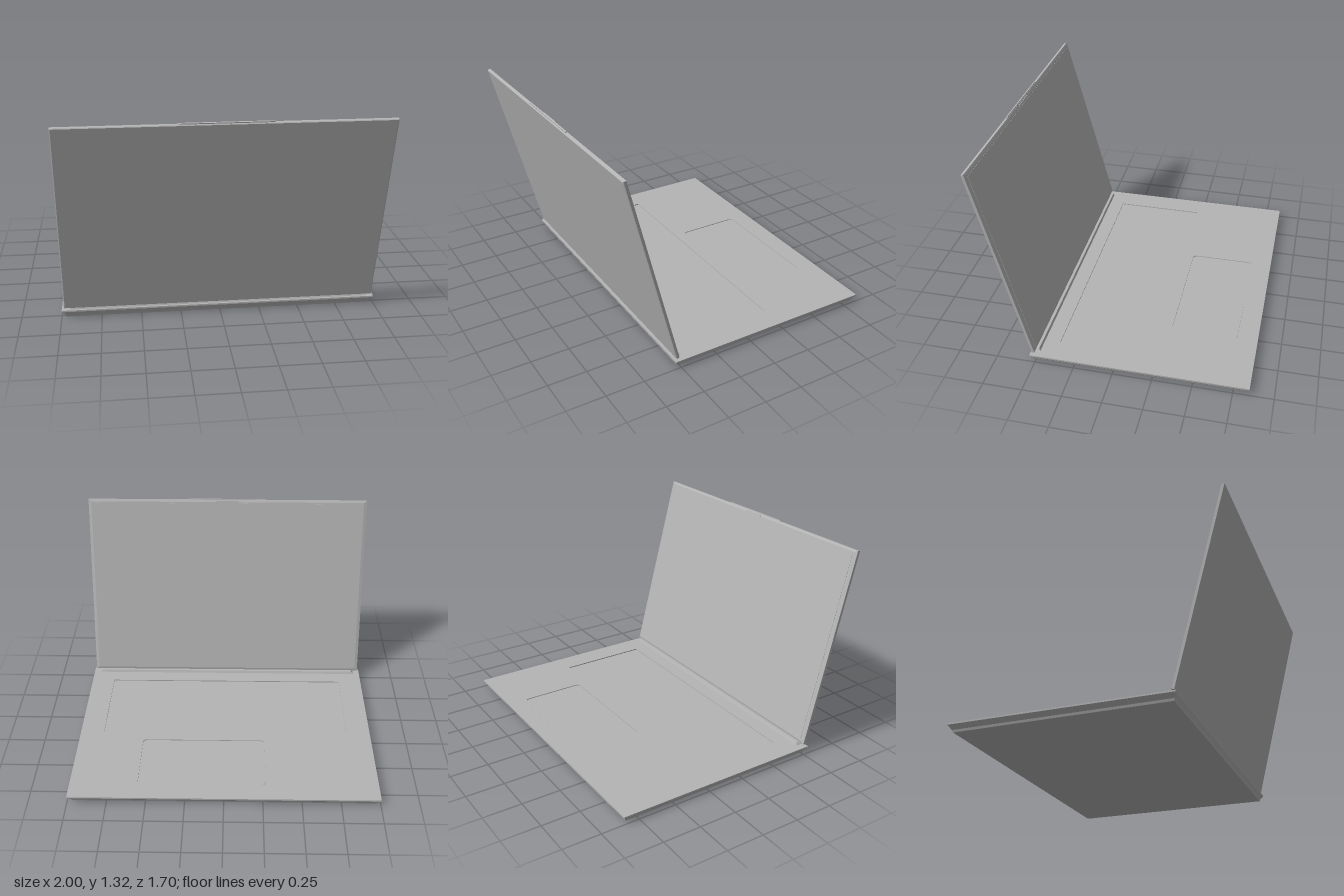
import * as THREE from 'three';

const metal = new THREE.MeshStandardMaterial({ color: 0xb4b4b4 });
metal.name = 'grey metal';

// Closed solid from rectangular sections [y, halfWidth, zMin, zMax], listed bottom to top.
function loft(sections, capTop = true) {
  const rings = sections.map(([y, w, a, b]) => [[-w, y, b], [w, y, b], [w, y, a], [-w, y, a]]);
  const pos = [];
  const quad = (a, b, c, d) => pos.push(...a, ...b, ...c, ...a, ...c, ...d);
  for (let i = 0; i < rings.length - 1; i++) {
    for (let k = 0; k < 4; k++) {
      const n = (k + 1) % 4;
      quad(rings[i][k], rings[i][n], rings[i + 1][n], rings[i + 1][k]);
    }
  }
  const [p, q, r, s] = rings[0];
  quad(s, r, q, p);
  if (capTop) quad(...rings[rings.length - 1]);
  const geo = new THREE.BufferGeometry();
  geo.setAttribute('position', new THREE.Float32BufferAttribute(pos, 3));
  geo.computeVertexNormals();
  return geo;
}

// Rounded rectangle outline; its y runs towards -z once laid flat.
function outline(Kind, x0, x1, z0, z1, r) {
  const s = new Kind();
  const a = -z1, b = -z0;
  s.moveTo(x0 + r, a);
  s.lineTo(x1 - r, a).quadraticCurveTo(x1, a, x1, a + r);
  s.lineTo(x1, b - r).quadraticCurveTo(x1, b, x1 - r, b);
  s.lineTo(x0 + r, b).quadraticCurveTo(x0, b, x0, b - r);
  s.lineTo(x0, a + r).quadraticCurveTo(x0, a, x0 + r, a);
  return s;
}

function add(parent, name, geo, x = 0, y = 0, z = 0) {
  const mesh = new THREE.Mesh(geo, metal);
  mesh.name = name;
  mesh.position.set(x, y, z);
  parent.add(mesh);
  return mesh;
}

export function createModel() {
  const model = new THREE.Group();
  model.name = 'laptop';

  // Base: narrow underside flaring out to the deck edge
  const base = new THREE.Group();
  base.name = 'base';
  model.add(base);
  add(base, 'baseShell', loft([
    [0, 0.97, -0.825, 0.515],
    [0.014, 0.975, -0.83, 0.52],
    [0.04, 1, -0.85, 0.535],
    [0.043, 1, -0.85, 0.535],
  ]));

  // Deck with openings for the keyboard well and touchpad
  const deck = outline(THREE.Shape, -1, 1, -0.85, 0.535, 0.005);
  deck.holes.push(
    outline(THREE.Path, -0.84, 0.84, -0.22, 0.38, 0.004),
    outline(THREE.Path, -0.27, 0.56, -0.72, -0.29, 0.03),
  );
  const deckGeo = new THREE.ExtrudeGeometry(deck, { depth: 0.007, bevelEnabled: false, curveSegments: 6 });
  deckGeo.rotateX(-Math.PI / 2);
  add(base, 'deck', deckGeo, 0, 0.043, 0);

  // Touchpad sits just below the deck surface
  const padGeo = new THREE.ExtrudeGeometry(
    outline(THREE.Shape, -0.267, 0.557, -0.717, -0.293, 0.028),
    { depth: 0.004, bevelEnabled: false, curveSegments: 6 });
  padGeo.rotateX(-Math.PI / 2);
  add(base, 'touchpad', padGeo, 0, 0.043, 0);

  // Hinge bar with sloped ends
  add(model, 'hinge', loft([
    [0.049, 0.955, 0.478, 0.522],
    [0.066, 0.94, 0.486, 0.515],
  ]));

  // Lid: tilted back about the hinge, screen facing -z
  const lid = new THREE.Group();
  lid.name = 'lid';
  lid.position.set(0, 0.06, 0.525);
  lid.rotation.x = 0.254;
  model.add(lid);
  const height = 1.292;
  const lay = (geo) => geo.rotateX(-Math.PI / 2);
  add(lid, 'lidShell', lay(loft([
    [0, 0.98, 0.004, height - 0.004],
    [0.004, 0.986, 0, height],
    [0.021, 0.986, 0, height],
    [0.026, 0.965, 0.015, height - 0.015],
  ])));

  // Screen panel, lid lip and camera tab
  add(lid, 'screen', new THREE.BoxGeometry(1.91, height - 0.05, 0.002), 0, height / 2, -0.0265);
  add(lid, 'lidLip', new THREE.BoxGeometry(0.54, 0.012, 0.01), 0, height, -0.014);
  add(lid, 'cameraTab', new THREE.BoxGeometry(0.16, 0.012, 0.005), 0, height - 0.012, -0.026);

  return model;
}
